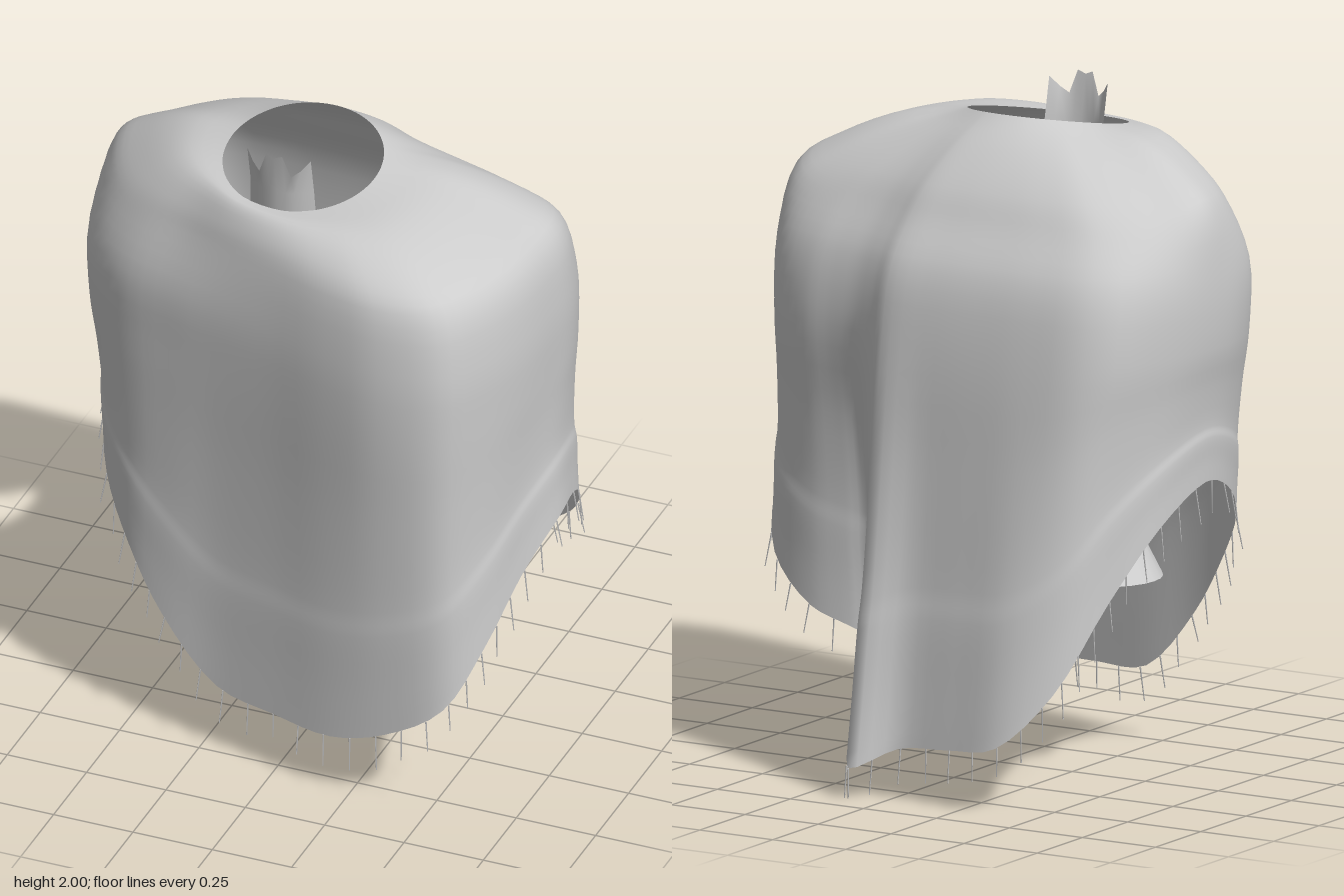
import * as THREE from 'three';

const V = (x, y, z) => new THREE.Vector3(x, y, z);

// Skin a grid of points: rows run downward, columns run round the body
function loft(rows, closed) {
  const n = rows[0].length, pos = [], idx = [];
  rows.forEach(r => r.forEach(p => pos.push(p.x, p.y, p.z)));
  for (let r = 0; r < rows.length - 1; r++) {
    for (let c = 0; c < (closed ? n : n - 1); c++) {
      const a = r * n + c, b = r * n + (c + 1) % n;
      idx.push(a, a + n, b, b, a + n, b + n);
    }
  }
  const g = new THREE.BufferGeometry();
  g.setAttribute('position', new THREE.Float32BufferAttribute(pos, 3));
  g.setIndex(idx);
  g.computeVertexNormals();
  return g;
}

// Folds round the cloth: waist x, z, then hem x, y, z
const FOLDS = [
  [0, .57, 0, .2, .54], [.2, .635, .2, .2, .59], [.38, .665, .38, .26, .61],
  [.56, .625, .56, .38, .6], [.65, .49, .65, .56, .5], [.7, .33, .7, .73, .33],
  [.72, .15, .74, .83, .15], [.72, 0, .72, .82, 0], [.68, -.14, .69, .75, -.12],
  [.61, -.24, .62, .6, -.24], [.48, -.31, .46, .47, -.3], [.37, -.335, .33, .42, -.29],
  [.28, -.36, .26, .38, -.265], [.2, -.4, .18, .23, -.45], [.13, -.44, .11, .09, -.655],
  [-.02, -.455, -.02, .15, -.59], [-.2, -.465, -.2, .17, -.61], [-.38, -.47, -.38, .2, -.635],
  [-.54, -.455, -.53, .36, -.56], [-.64, -.39, -.63, .62, -.41], [-.72, -.21, -.7, .82, -.24],
  [-.75, -.02, -.72, .92, -.02], [-.74, .13, -.7, .88, .13], [-.67, .3, -.62, .75, .31],
  [-.54, .405, -.51, .59, .41], [-.36, .465, -.38, .4, .46], [-.2, .51, -.2, .22, .49],
];
const NECK = { x: -.05, z: .19, r: .235 };

// One fold from neck edge over the shoulder to the hem;
// the back and the front right corner slope more
function foldCurve([mx, mz, hx, hy, hz]) {
  const a = Math.atan2(mz - NECK.z, mx - NECK.x);
  const nz = NECK.z + NECK.r * Math.sin(a);
  const neck = V(NECK.x + NECK.r * Math.cos(a), 1.94 - .18 * (nz + .04), nz);
  const back = THREE.MathUtils.smoothstep(-mz, 0, .34);
  const corner = THREE.MathUtils.smoothstep(mz * .8 - mx * .6, .46, .64);
  const scaled = (sx, sz, y) => V(mx * sx, y, .1 + (mz - .1) * sz);
  const shoulder = scaled(.945 - .04 * back - .05 * corner, .945 - .2 * back - .06 * corner,
    1.725 - .06 * back - .02 * corner);
  const onTop = (t, y) => { const p = neck.clone().lerp(shoulder, t); p.y = y; return p; };
  const waist = V(mx, 1.32, mz), hem = V(hx, hy, hz);
  const drop = (t, tuck) => {
    const p = waist.clone().lerp(hem, t);
    p.x *= 1 - tuck; p.z = .1 + (p.z - .1) * (1 - tuck);
    return p;
  };
  return new THREE.CatmullRomCurve3([
    neck, onTop(.4, neck.y * .5 + .925 - .035 * back), onTop(.78, 1.8 - .045 * back - .015 * corner), shoulder,
    scaled(1 - .01 * back, 1 - .09 * back, 1.53),
    waist, drop(.3, .014), drop(.6, .018), drop(.68, .008), drop(.85, .005), hem,
  ], false, 'centripetal');
}

function clothRows() {
  const curves = FOLDS.map(foldCurve), rows = [], STEPS = 40;
  for (let i = 0; i <= STEPS; i++) {
    const ring = new THREE.CatmullRomCurve3(curves.map(c => c.getPoint(i / STEPS)), true, 'centripetal');
    const n = FOLDS.length * 4, pts = [];
    for (let j = 0; j < n; j++) pts.push(ring.getPoint(j / n));
    rows.push(pts);
  }
  return rows;
}

export function createModel() {
  const group = new THREE.Group();
  const cloth = new THREE.MeshStandardMaterial({ color: 0xcccccc, side: THREE.DoubleSide });
  cloth.name = 'light grey cloth';
  const add = (name, geo, parent = group) => {
    const m = new THREE.Mesh(geo, cloth);
    m.name = name;
    parent.add(m);
    return m;
  };

  // Draped cape with neck opening
  const rows = clothRows();
  add('drapedCape', loft(rows, true));

  // Fringe threads hanging from the hem
  const fringe = new THREE.Group();
  fringe.name = 'fringe';
  group.add(fringe);
  const hem = new THREE.CatmullRomCurve3(rows[rows.length - 1], true);
  const thread = new THREE.CylinderGeometry(.003, .002, 1, 3);
  thread.translate(0, -.5, 0);
  const COUNT = 62;
  for (let i = 0; i < COUNT; i++) {
    const p = hem.getPointAt(i / COUNT);
    const len = Math.min(.08 + .025 * Math.abs(Math.sin(i * 2.7)), p.y);
    const out = V(p.x, 0, p.z).setLength(.02 * Math.abs(Math.sin(i * 1.9)));
    const m = add('fringeThread', thread, fringe);
    m.scale.y = len;
    m.quaternion.setFromUnitVectors(V(0, -1, 0), V(out.x, -len, out.z).normalize());
    m.position.copy(p);
  }
  // One straight thread at the lowest corner reaches the floor
  const lowest = rows[rows.length - 1].reduce((a, b) => (b.y < a.y ? b : a));
  const longThread = add('cornerThread', thread, fringe);
  longThread.position.copy(lowest);
  longThread.scale.y = lowest.y;

  // Flared inner skirt, open above and below
  const skirt = [[.96, .3, .07, .13], [.84, .34, .13, .1], [.72, .41, .21, .065], [.59, .5, .285, .035]]
    .map(([y, rx, rz, cz]) => Array.from({ length: 40 }, (_, i) => {
      const a = i / 40 * Math.PI * 2;
      return V(-.01 + rx * Math.sin(a), y, cz + rz * Math.cos(a));
    }));
  add('innerSkirt', loft(skirt, true));

  // Curved front strip rising through the neck, with a notched top edge
  const crown = [1.98, 1.95, 1.93, 2, 1.99, 2, 1.93, 1.95, 1.98];
  const strip = [[null, .1, .365], [1.86, .1, .34], [1.6, .11, .32], [1.25, .13, .27], [.95, .145, .21]]
    .map(([y, half, z]) => crown.map((top, i) => {
      const s = i / 4 - 1;
      return V(-.07 + half * s, y ?? top, z - .04 * s * s);
    }));
  add('collarStrip', loft(strip, false));

  return group;
}
